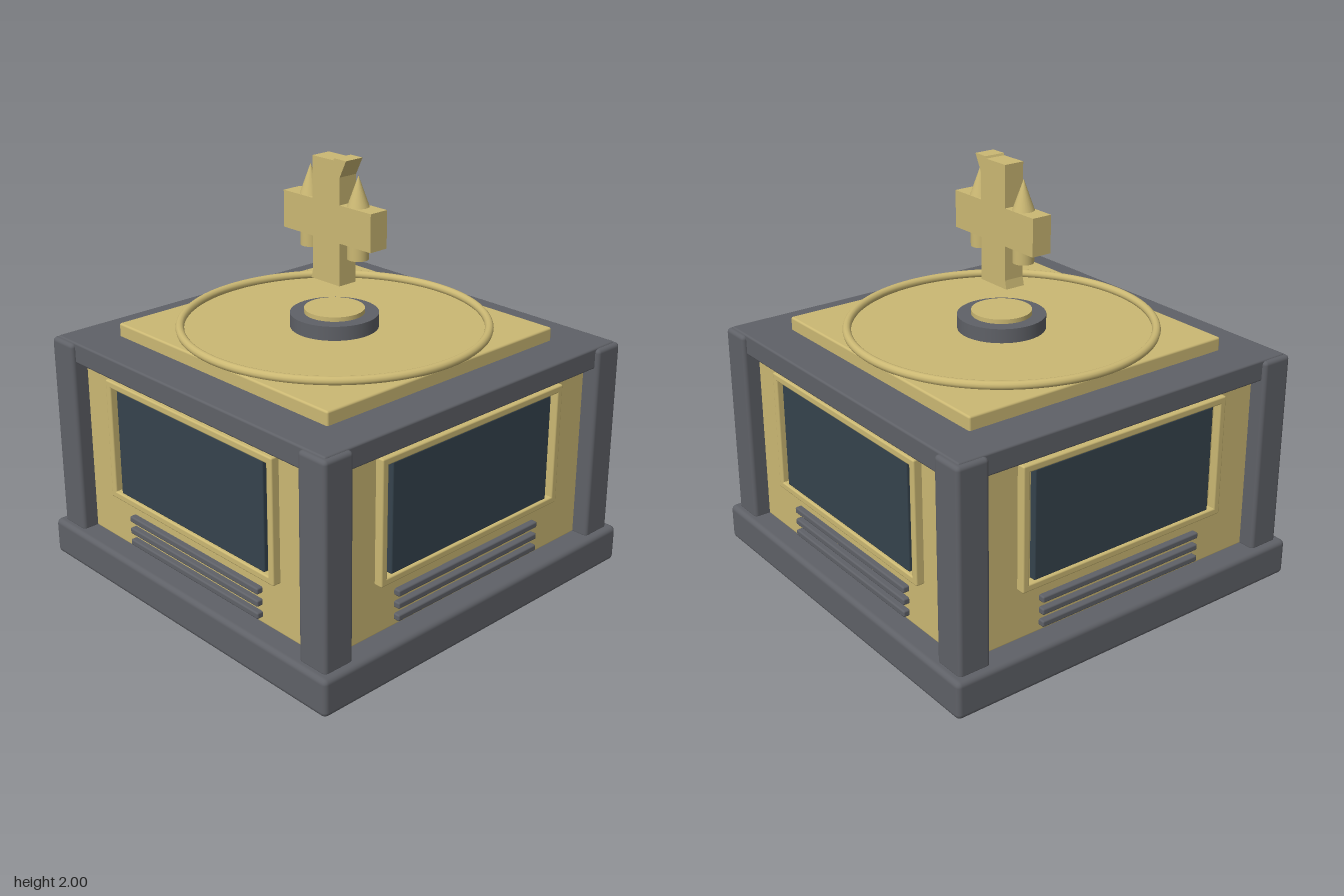
import * as THREE from 'three';
import { RoundedBoxGeometry } from 'three/addons/geometries/RoundedBoxGeometry.js';

const paint = (name, hex) => {
  const m = new THREE.MeshStandardMaterial({ color: hex });
  m.name = name;
  return m;
};

export function createModel() {
  const gold = paint('gold', 0xcbb873);
  const grey = paint('dark grey', 0x5f6167);
  const glass = paint('dark glass', 0x35434d);
  const model = new THREE.Group();

  const add = (parent, name, geometry, material, x = 0, y = 0, z = 0) => {
    const mesh = new THREE.Mesh(geometry, material);
    mesh.name = name;
    mesh.position.set(x, y, z);
    parent.add(mesh);
    return mesh;
  };
  // Rounded box given by its bottom and top heights
  const block = (parent, name, material, w, y0, y1, d, r, x = 0, z = 0) =>
    add(parent, name, new RoundedBoxGeometry(w, y1 - y0, d, 2, r), material, x, (y0 + y1) / 2, z);

  // Housing
  block(model, 'base', grey, 1.93, 0, 0.18, 1.93, 0.025);
  block(model, 'body', gold, 1.7, 0.17, 1.06, 1.7, 0.015);
  block(model, 'roofFrame', grey, 1.82, 1.035, 1.137, 1.82, 0.01);
  for (const x of [-0.85, 0.85])
    for (const z of [-0.85, 0.85])
      block(model, 'cornerPost', grey, 0.16, 0.165, 1.13, 0.16, 0.02, x, z);

  // Four identical sides: framed window above three louvres
  const face = 0.85;
  for (let i = 0; i < 4; i++) {
    const side = new THREE.Group();
    side.name = 'sidePanel';
    side.rotation.y = i * Math.PI / 2;
    model.add(side);
    block(side, 'windowPane', glass, 1.01, 0.455, 0.975, 0.05, 0.008, 0, face + 0.005);
    for (const y of [0.42, 0.975])
      block(side, 'windowRail', gold, 1.145, y, y + 0.035, 0.06, 0.008, 0, face + 0.01);
    for (const x of [-0.555, 0.555])
      block(side, 'windowStile', gold, 0.035, 0.425, 1.005, 0.06, 0.008, x, face + 0.01);
    for (const y of [0.205, 0.265, 0.325])
      block(side, 'louvre', grey, 0.91, y, y + 0.031, 0.05, 0.008, 0, face + 0.005);
  }

  // Roof plate, ring and hub
  block(model, 'roofPlate', gold, 1.41, 1.12, 1.2, 1.41, 0.01);
  const ring = add(model, 'roofRing', new THREE.TorusGeometry(0.709, 0.02, 12, 96), gold, 0, 1.215, 0);
  ring.rotation.x = Math.PI / 2;
  add(model, 'hub', new THREE.CylinderGeometry(0.205, 0.205, 0.07, 48), grey, 0, 1.232, 0);
  add(model, 'hubCap', new THREE.CylinderGeometry(0.14, 0.14, 0.03, 48), gold, 0, 1.273, 0);

  // Floating cross emblem with a slanted tip
  const emblem = new THREE.Group();
  emblem.name = 'emblem';
  model.add(emblem);
  const outline = new THREE.Shape([
    [-0.1, 1.42], [0.085, 1.42], [0.085, 1.62], [0.28, 1.62], [0.28, 1.795], [0.085, 1.795],
    [0.085, 1.92], [0.125, 2], [0.05, 2], [0.045, 1.99], [-0.09, 1.99], [-0.09, 1.795],
    [-0.285, 1.795], [-0.285, 1.62], [-0.09, 1.62], [-0.09, 1.46],
  ].map(([x, y]) => new THREE.Vector2(x, y)));
  const cross = new THREE.ExtrudeGeometry(outline, { depth: 0.1, bevelEnabled: false });
  add(emblem, 'cross', cross, gold, 0, 0, -0.05);

  // Pointed rods through the arms of the cross
  for (const x of [-0.157, 0.152]) {
    add(emblem, 'rod', new THREE.CylinderGeometry(0.049, 0.049, 0.24, 24), gold, x, 1.675, 0);
    add(emblem, 'rodTip', new THREE.ConeGeometry(0.05, 0.14, 24), gold, x, 1.865, 0);
  }
  return model;
}
